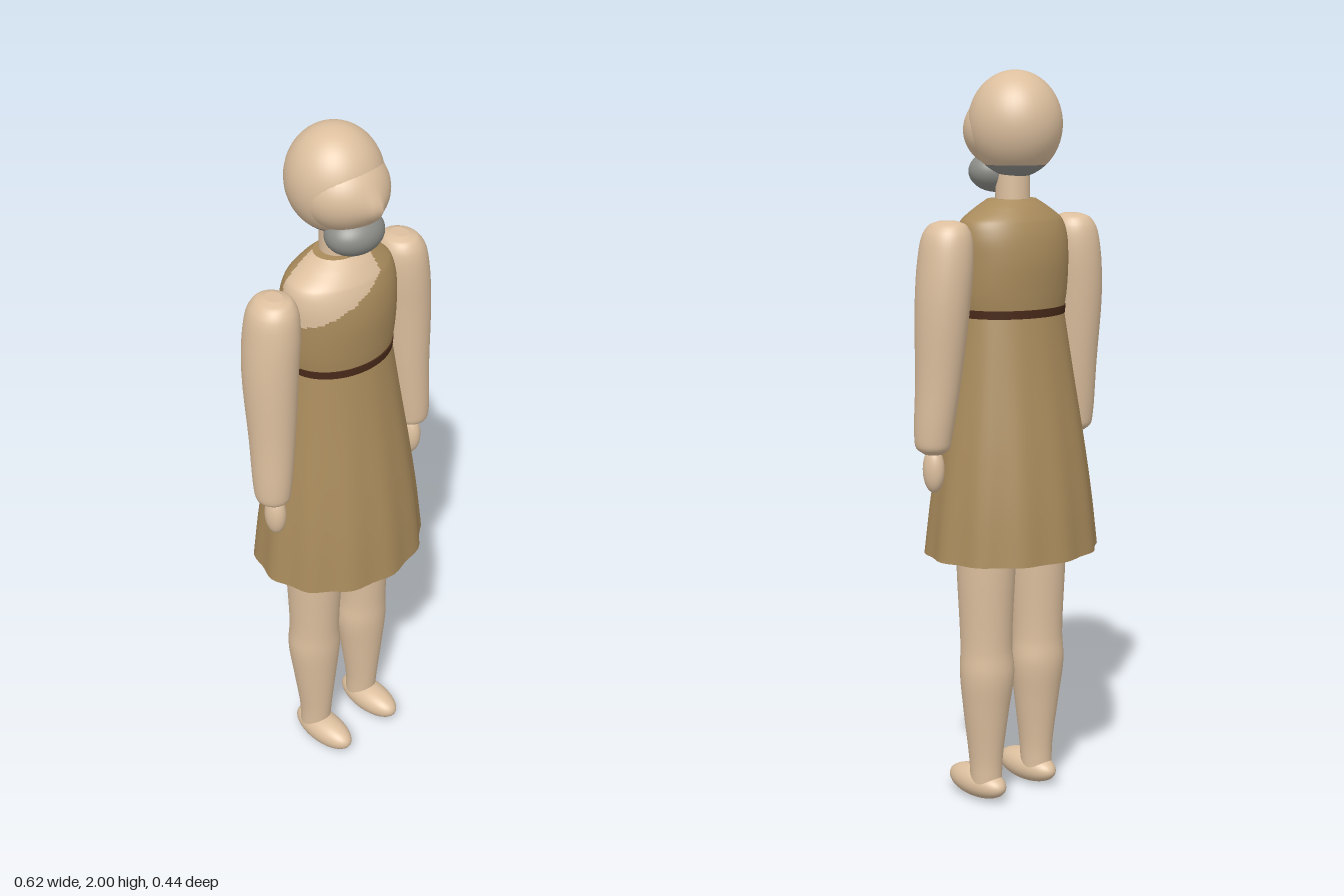
import * as THREE from 'three';

const material = (name, color, side = THREE.FrontSide) => {
  const m = new THREE.MeshStandardMaterial({ color, side });
  m.name = name;
  return m;
};

// Skin over elliptical sections [y, centreX, centreZ, radiusX, radiusZ], listed upwards.
// pick(x, y, z) chooses the material group of a cell; ripple(angle, t) scales the radius.
function loft(keys, { rows = 32, segs = 40, caps = true, pick = () => 0, ripple = () => 1 } = {}) {
  const mid = new THREE.CatmullRomCurve3(keys.map(k => new THREE.Vector3(k[1], k[0], k[2])));
  const rad = new THREE.CatmullRomCurve3(keys.map(k => new THREE.Vector3(k[3], k[0], k[4])));
  const pos = [], groups = [[], []];
  for (let i = 0; i <= rows; i++) {
    const c = mid.getPoint(i / rows), r = rad.getPoint(i / rows);
    for (let j = 0; j < segs; j++) {
      const a = j / segs * Math.PI * 2, k = ripple(a, i / rows);
      pos.push(c.x + r.x * k * Math.cos(a), c.y, c.z + r.z * k * Math.sin(a));
    }
  }
  for (let i = 0; i < rows; i++) for (let j = 0; j < segs; j++) {
    const a = i * segs + j, b = i * segs + (j + 1) % segs, c = b + segs, d = a + segs;
    const at = n => (pos[a * 3 + n] + pos[c * 3 + n]) / 2;
    groups[pick(at(0), at(1), at(2))].push(a, d, b, b, d, c);
  }
  if (caps) for (const [row, k] of [[0, keys[0]], [rows, keys[keys.length - 1]]]) {
    const base = pos.length / 3;
    for (let j = 0; j < segs; j++) pos.push(...pos.slice((row * segs + j) * 3, (row * segs + j) * 3 + 3));
    pos.push(k[1], k[0], k[2]);
    for (let j = 0; j < segs; j++) {
      const p = base + j, q = base + (j + 1) % segs;
      groups[0].push(base + segs, ...(row ? [q, p] : [p, q]));
    }
  }
  const g = new THREE.BufferGeometry();
  g.setAttribute('position', new THREE.Float32BufferAttribute(pos, 3));
  g.setIndex([...groups[0], ...groups[1]]);
  g.addGroup(0, groups[0].length, 0);
  g.addGroup(groups[0].length, groups[1].length, 1);
  g.computeVertexNormals();
  return g;
}

export function createModel() {
  const model = new THREE.Group();
  const skin = material('skin', 0xdcbf9e);
  const cloth = material('tunic cloth', 0xa98b5c, THREE.DoubleSide);
  const leather = material('belt leather', 0x4a2b1a);
  const grey = material('grey hair', 0x8c8c88);

  const add = (name, geometry, mat, parent = model) => {
    const mesh = new THREE.Mesh(geometry, mat);
    mesh.name = name;
    parent.add(mesh);
    return mesh;
  };
  const ball = (name, mat, [x, y, z], [rx, ry, rz], parent = model, from = 0, to = Math.PI) => {
    const g = new THREE.SphereGeometry(1, 40, 28, 0, Math.PI * 2, from, to - from);
    return add(name, g.scale(rx, ry, rz).translate(x, y, z), mat, parent);
  };

  // Head: bald skull with a grey nape, and a face drawn forward to the nose
  const head = new THREE.Group();
  head.name = 'head';
  model.add(head);
  const skullAt = [0, 1.86, -0.014], skullSize = [0.124, 0.14, 0.127];
  ball('skull', skin, skullAt, skullSize, head, 0, 2.42);
  ball('napeHair', grey, skullAt, skullSize, head, 2.42);
  const face = ball('face', skin, [0, 1.845, 0.02], [0.117, 0.105, 0.112], head);
  const p = face.geometry.attributes.position;
  for (let i = 0; i < p.count; i++) {
    const x = p.getX(i), y = p.getY(i), z = p.getZ(i);
    if (z > 0.03) p.setZ(i, z + 0.024 * Math.exp(-Math.abs(x) / 0.03 - ((y - 1.825) / 0.04) ** 2));
  }
  face.geometry.computeVertexNormals();
  ball('beard', grey, [0, 1.735, 0.057], [0.083, 0.056, 0.069], head);
  add('neck', new THREE.CylinderGeometry(0.045, 0.047, 0.16, 32).translate(0, 1.7, -0.004), skin);

  // Upper tunic, leaving the right shoulder bare
  const bare = (x, y, z) => (z > -0.04 && x < 0.055 && y > 1.59 + 0.47 * x ? 1 : 0);
  add('upperTunic', loft([
    [1.36, 0, 0, 0.155, 0.121], [1.42, 0, 0, 0.165, 0.127], [1.51, 0, 0, 0.169, 0.13],
    [1.57, 0, 0, 0.168, 0.121], [1.61, 0, 0, 0.155, 0.106], [1.645, 0, 0, 0.105, 0.08],
    [1.665, 0, 0, 0.07, 0.058]], { rows: 64, segs: 96, pick: bare }), [cloth, skin]);

  // Flared skirt with shallow folds deepening toward the hem
  add('skirt', loft([
    [0.71, 0, 0, 0.25, 0.216], [0.85, 0, 0, 0.234, 0.202], [1, 0, 0, 0.213, 0.181],
    [1.2, 0, 0, 0.181, 0.148], [1.38, 0, 0, 0.153, 0.12]],
    { segs: 72, caps: false, ripple: (a, t) => 1 + 0.02 * (1 - t) * Math.cos(12 * a) }), cloth);

  // Belt
  add('belt', loft([[1.358, 0, 0, 0.158, 0.125], [1.38, 0, 0, 0.16, 0.127]], { rows: 1, segs: 64 }), leather);

  // Mirrored limbs
  for (const s of [1, -1]) {
    const side = s > 0 ? 'left' : 'right';
    const limb = rows => rows.map(([y, x, ...rest]) => [y, x * s, ...rest]);
    add(side + 'Arm', loft(limb([
      [1.005, 0.259, 0.022, 0.026, 0.028], [1.02, 0.26, 0.022, 0.044, 0.046], [1.05, 0.26, 0.021, 0.049, 0.052],
      [1.2, 0.249, 0.012, 0.059, 0.063], [1.4, 0.241, 0.002, 0.07, 0.076], [1.52, 0.231, 0, 0.07, 0.077],
      [1.58, 0.226, 0, 0.062, 0.068], [1.607, 0.223, 0, 0.045, 0.051], [1.616, 0.222, 0, 0.022, 0.026]])), skin);
    ball(side + 'Hand', skin, [s * 0.256, 0.96, 0.025], [0.027, 0.062, 0.032]);
    add(side + 'Leg', loft(limb([
      [0.05, 0.095, 0, 0.043, 0.045], [0.12, 0.095, 0.002, 0.045, 0.049], [0.26, 0.095, 0, 0.063, 0.063],
      [0.37, 0.094, -0.003, 0.076, 0.074], [0.45, 0.095, -0.001, 0.071, 0.072],
      [0.7, 0.094, 0, 0.08, 0.084], [1.02, 0.088, 0, 0.084, 0.09]])), skin);
    ball(side + 'Foot', skin, [s * 0.095, 0.044, 0.037], [0.049, 0.044, 0.107]);
  }
  return model;
}
